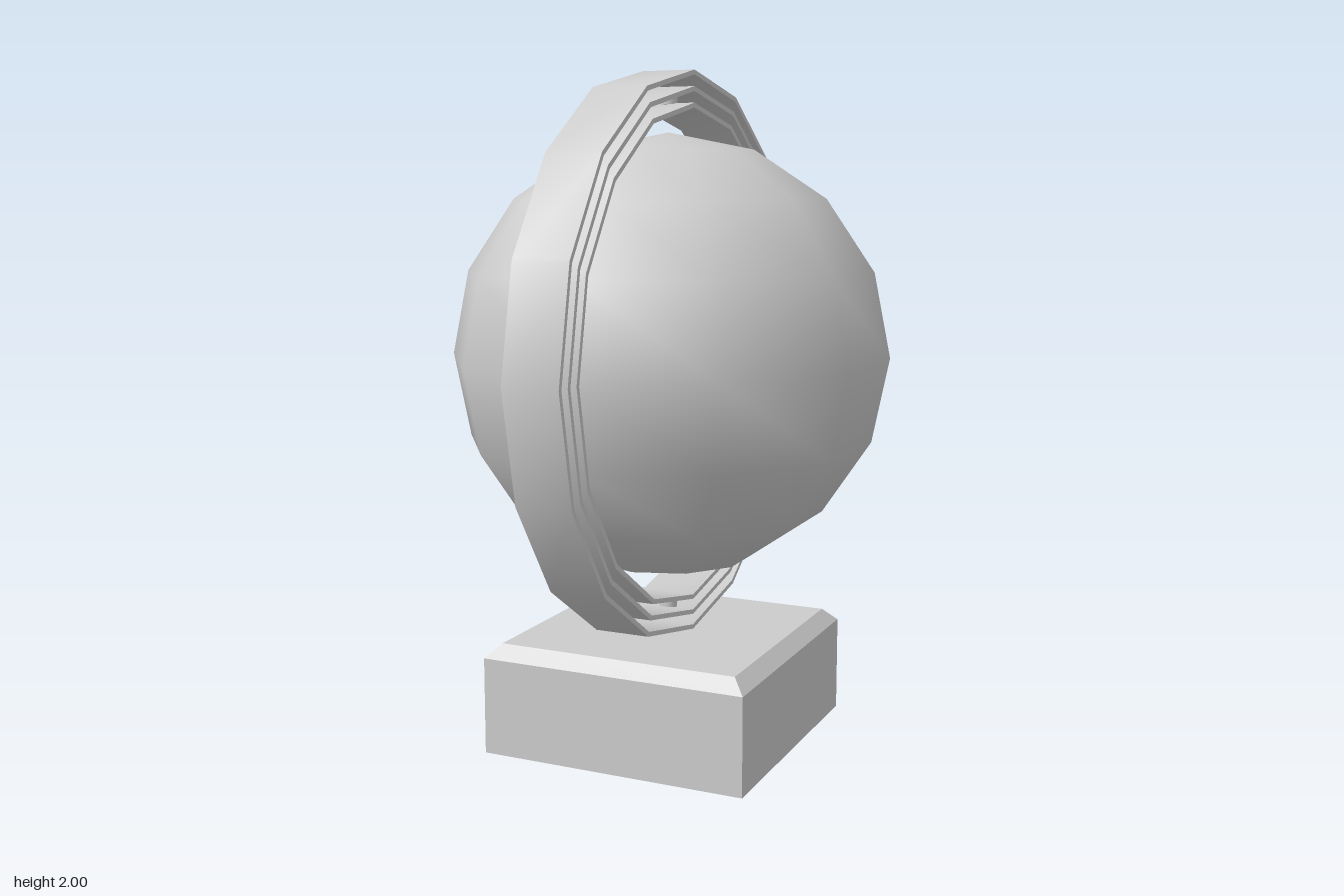
import * as THREE from 'three';
import { toCreasedNormals } from 'three/addons/utils/BufferGeometryUtils.js';

const CENTRE_Y = 1.165;

export function createModel() {
  const model = new THREE.Group();
  const material = new THREE.MeshStandardMaterial({ color: 0xcccccc });

  const add = (name, geometry, parent = model) => {
    const mesh = new THREE.Mesh(geometry, material);
    mesh.name = name;
    parent.add(mesh);
    return mesh;
  };
  const lathe = (points, sides, start, crease) => toCreasedNormals(
    new THREE.LatheGeometry(points.map(([r, y]) => new THREE.Vector2(r, y)), sides, start), crease);

  // Square base with a bevelled top edge
  const d = Math.SQRT2;
  add('base', lathe([[0, 0], [0.41 * d, 0], [0.41 * d, 0.29], [0.37 * d, 0.33], [0, 0.33]],
    4, Math.PI / 4, 0.2));

  // Everything above the base shares one centre
  const gimbal = new THREE.Group();
  gimbal.name = 'gimbal';
  gimbal.position.y = CENTRE_Y;
  model.add(gimbal);

  // Ball, turned so its vertices fall on the z axis
  add('globe', new THREE.SphereGeometry(0.657, 10, 8).rotateY(Math.PI / 2), gimbal);

  // Three nested flat bands around the x axis
  const halfWidth = 0.083;
  const thickness = 0.014;
  const radii = { outerRing: 0.835, middleRing: 0.788, innerRing: 0.741 };
  for (const [name, r] of Object.entries(radii)) {
    const i = r - thickness;
    const profile = [[i, -halfWidth], [r, -halfWidth], [r, halfWidth], [i, halfWidth], [i, -halfWidth]];
    add(name, lathe(profile, 16, 0, 0.6).rotateZ(Math.PI / 2), gimbal);
  }

  // Pivot pins: front and back join outer to middle, top and bottom join middle to inner
  for (const side of [1, -1]) {
    const pin = () => new THREE.CylinderGeometry(0.026, 0.026, 0.042, 12);
    add('outerPin', pin().rotateX(Math.PI / 2), gimbal).position.z = side * 0.806;
    add('innerPin', pin(), gimbal).position.y = side * 0.758;
  }

  return model;
}
